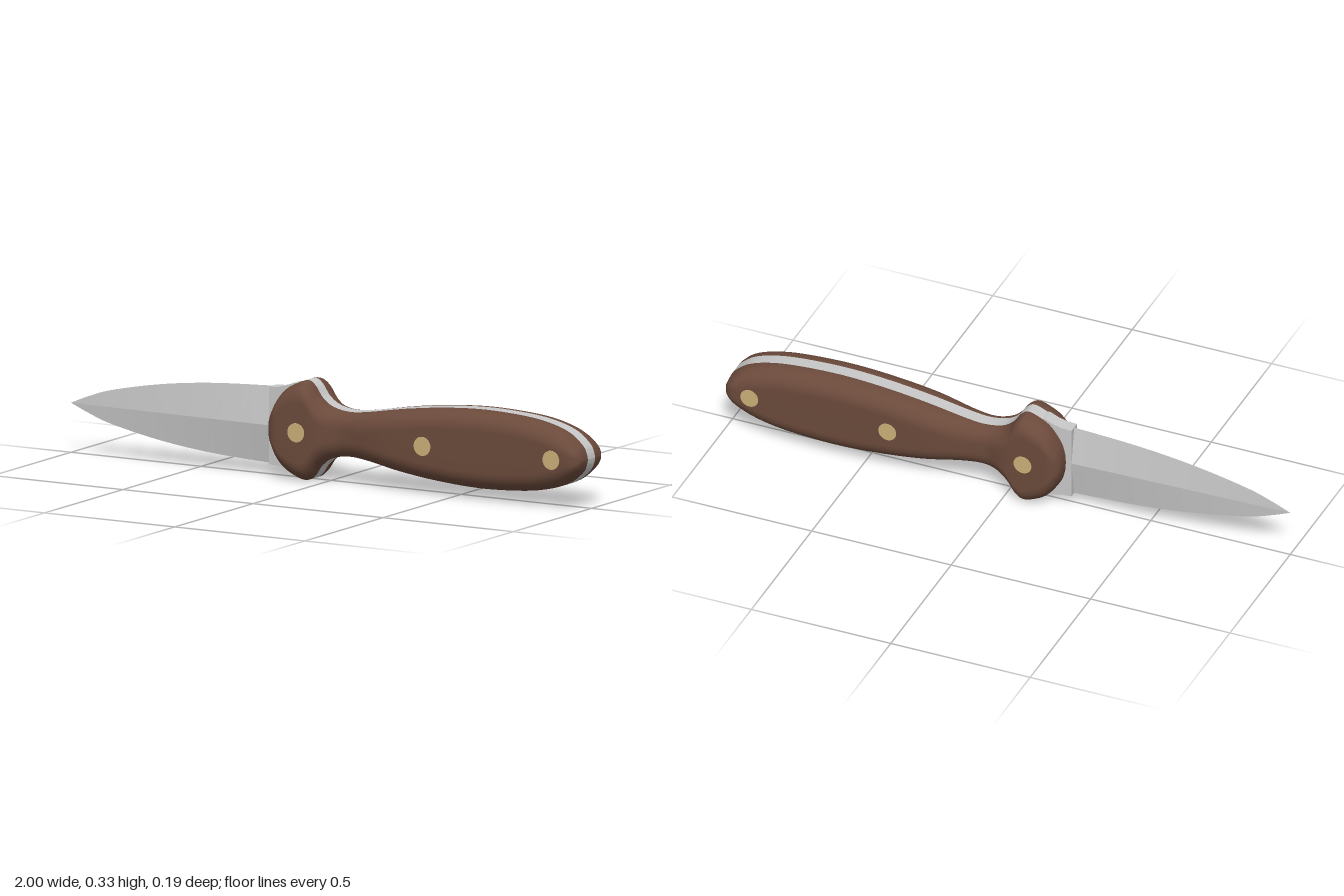
import * as THREE from 'three';

const MID = 0.167;      // height of the long axis
const TANG = 0.023;     // half thickness of the steel
const HALF = 0.093;     // half thickness of the handle
const V = (p) => new THREE.Vector2(p[0], p[1]);

// Half profile of the handle: x along the knife, y above the axis
const handleProfile = new THREE.SplineCurve([
  [-0.205, 0], [-0.202, 0.035], [-0.188, 0.078], [-0.15, 0.13], [-0.105, 0.157], [-0.07, 0.166],
  [-0.045, 0.15], [-0.018, 0.113], [0.02, 0.087], [0.08, 0.075], [0.15, 0.08], [0.3, 0.105],
  [0.45, 0.123], [0.6, 0.131], [0.75, 0.125], [0.85, 0.111], [0.93, 0.085], [0.98, 0.047],
  [0.995, 0.022], [1, 0],
].map(V)).getPoints(150);

// Half profile of the blade, tip to base
const bladeProfile = new THREE.SplineCurve([
  [-1, 0], [-0.93, 0.029], [-0.84, 0.058], [-0.65, 0.095], [-0.45, 0.118], [-0.22, 0.13],
].map(V)).getPoints(36);

// Half depth of the handle: pinched at the neck, rounded at both ends
function depthAt(x) {
  const w = x < 0.07 ? 0.055 : 0.13;
  const d = HALF - 0.026 * Math.exp(-(((x - 0.07) / w) ** 2));
  const r = 0.045;
  const t = Math.min(r, Math.max(0, Math.min(x + 0.205, 1 - x)));
  return d - r + Math.sqrt(r * r - (r - t) ** 2);
}

// Surface through equally long rows of points
function loft(rows) {
  const n = rows[0].length, index = [];
  for (let i = 0; i < rows.length - 1; i++) {
    for (let j = 0; j < n - 1; j++) {
      const a = i * n + j, b = a + 1, c = a + n, d = c + 1;
      index.push(a, b, c, b, d, c);
    }
  }
  const g = new THREE.BufferGeometry();
  g.setAttribute('position', new THREE.Float32BufferAttribute(rows.flat(2), 3));
  g.setIndex(index);
  g.computeVertexNormals();
  return g;
}

// One handle scale: rounded half section swept along the handle
function scaleGeometry() {
  return loft(handleProfile.map((p) => {
    const h = Math.max(0, p.y), d = depthAt(p.x);
    const rz = Math.min(0.062, d - TANG), ry = Math.min(0.062, h * 0.75);
    const upper = [[p.x, h, TANG]];
    for (let k = 0; k <= 10; k++) {
      const a = (k / 10) * Math.PI / 2;
      upper.push([p.x, h - ry + ry * Math.cos(a), d - rz + rz * Math.sin(a)]);
    }
    const lower = upper.map(([x, y, z]) => [x, -y, z]).reverse();
    return [...upper, [p.x, 0, d], ...lower];
  }));
}

// One flat-ground side of the blade, with a crisp central ridge
function bladeSideGeometry() {
  const g = loft(bladeProfile.map((p) => {
    const z = 0.022 * (p.x + 1) / 0.78;
    return [[p.x, p.y, 0], [p.x, 0, z], [p.x, -p.y, 0]];
  })).toNonIndexed();
  g.computeVertexNormals();
  return g;
}

// Full-length tang with the blade shoulder flaring into the guard
function tangGeometry() {
  const shoulder = [[-0.225, 0.13], [-0.19, 0.132], [-0.16, 0.139], [-0.13, 0.152]].map(V);
  const top = [...shoulder, ...handleProfile.filter((p) => p.x > -0.12)];
  const bottom = top.slice(0, -1).reverse().map((p) => new THREE.Vector2(p.x, -p.y));
  const g = new THREE.ExtrudeGeometry(new THREE.Shape([...top, ...bottom]),
    { depth: 2 * TANG, bevelEnabled: false });
  return g.translate(0, 0, -TANG);
}

export function createModel() {
  const mat = (name, color) => {
    const m = new THREE.MeshStandardMaterial({ color });
    m.name = name;
    return m;
  };
  const steel = mat('steel', 0xc8c8c8);
  const wood = mat('wood', 0x6b4a3b);
  const brass = mat('brass', 0xcbb079);

  const knife = new THREE.Group();
  knife.name = 'knife';
  const add = (name, geometry, material) => {
    const mesh = new THREE.Mesh(geometry, material);
    mesh.name = name;
    mesh.position.y = MID;
    knife.add(mesh);
    return mesh;
  };

  add('tang', tangGeometry(), steel);

  // The second side is the first turned half round the long axis
  const scale = scaleGeometry(), side = bladeSideGeometry();
  ['front', 'back'].forEach((s, i) => {
    add(s + 'HandleScale', scale, wood).rotation.x = i * Math.PI;
    add(s + 'BladeSide', side, steel).rotation.x = i * Math.PI;
  });

  // Rivets pass right through the handle
  [-0.08, 0.405, 0.9].forEach((x, i) => {
    const pin = new THREE.CylinderGeometry(0.032, 0.032, 2 * HALF + 0.003, 32).rotateX(Math.PI / 2);
    add('rivet' + (i + 1), pin, brass).position.x = x;
  });

  return knife;
}
